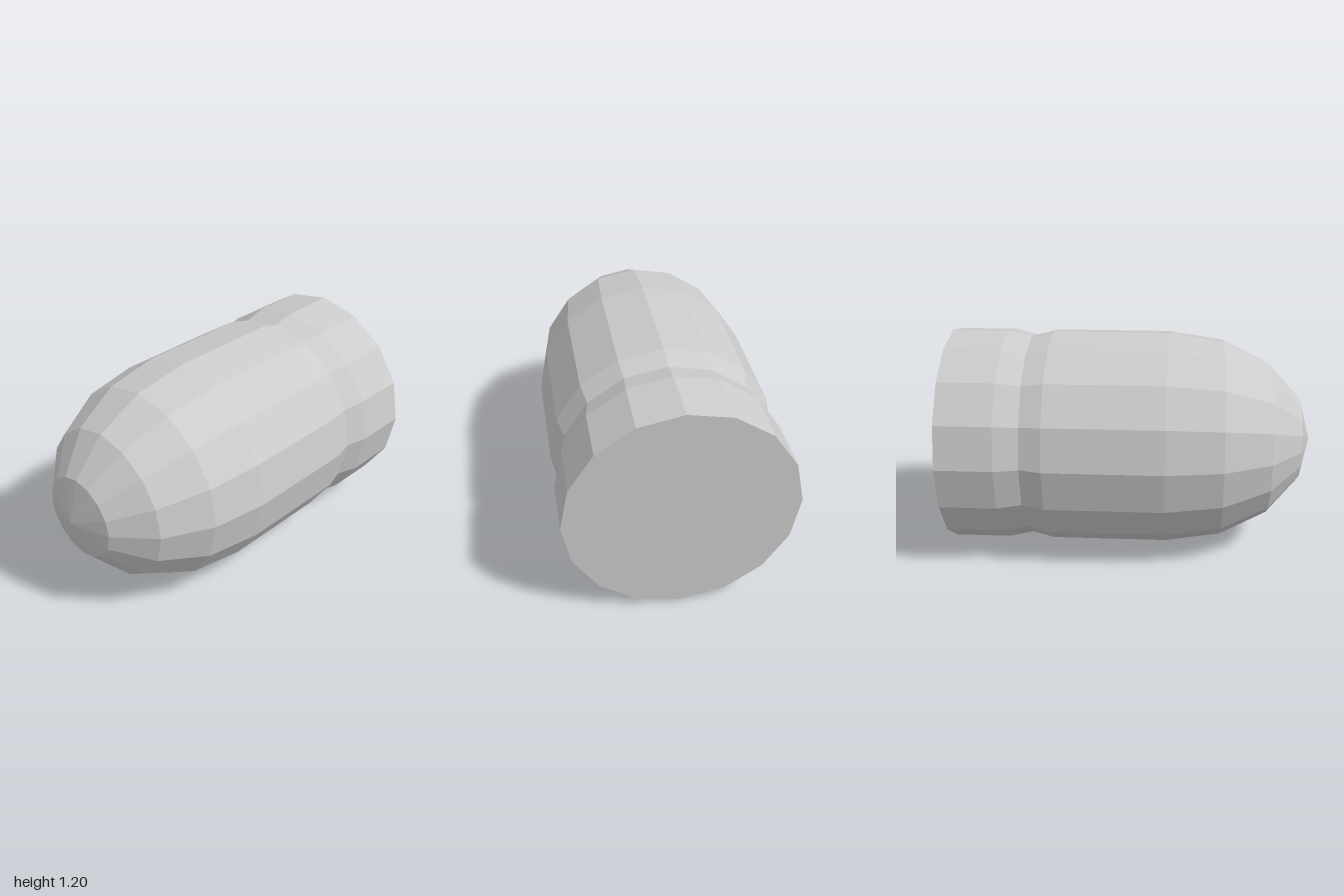
import * as THREE from 'three';

const SIDES = 16;
const R = 0.6;

export function createModel() {
  const group = new THREE.Group();
  group.name = 'roundNosedSlug';
  const material = new THREE.MeshStandardMaterial({ color: 0xcccccc, flatShading: true });

  // Turn a profile of [radius, x] pairs, listed from base to tip, about the x axis
  const turned = (name, profile) => {
    const points = profile.map(([r, x]) => new THREE.Vector2(r, -x));
    const geometry = new THREE.LatheGeometry(points, SIDES);
    geometry.rotateZ(Math.PI / 2);
    geometry.translate(0, R, 0);
    const mesh = new THREE.Mesh(geometry, material);
    mesh.name = name;
    group.add(mesh);
  };

  // Flat base with its short cylindrical heel
  turned('base', [[0, 1], [R, 1], [R, 0.69]]);

  // Shallow V groove around the body
  turned('groove', [[R, 0.69], [0.57, 0.56], [R, 0.44]]);

  // Straight body
  turned('body', [[R, 0.44], [R, -0.2]]);

  // Elliptical nose in four steps
  const nose = [];
  for (let i = 0; i <= 4; i++) {
    const a = (i / 4) * Math.PI / 2;
    nose.push([i === 4 ? 0 : R * Math.cos(a), -0.2 - 0.8 * Math.sin(a)]);
  }
  turned('nose', nose);

  return group;
}
